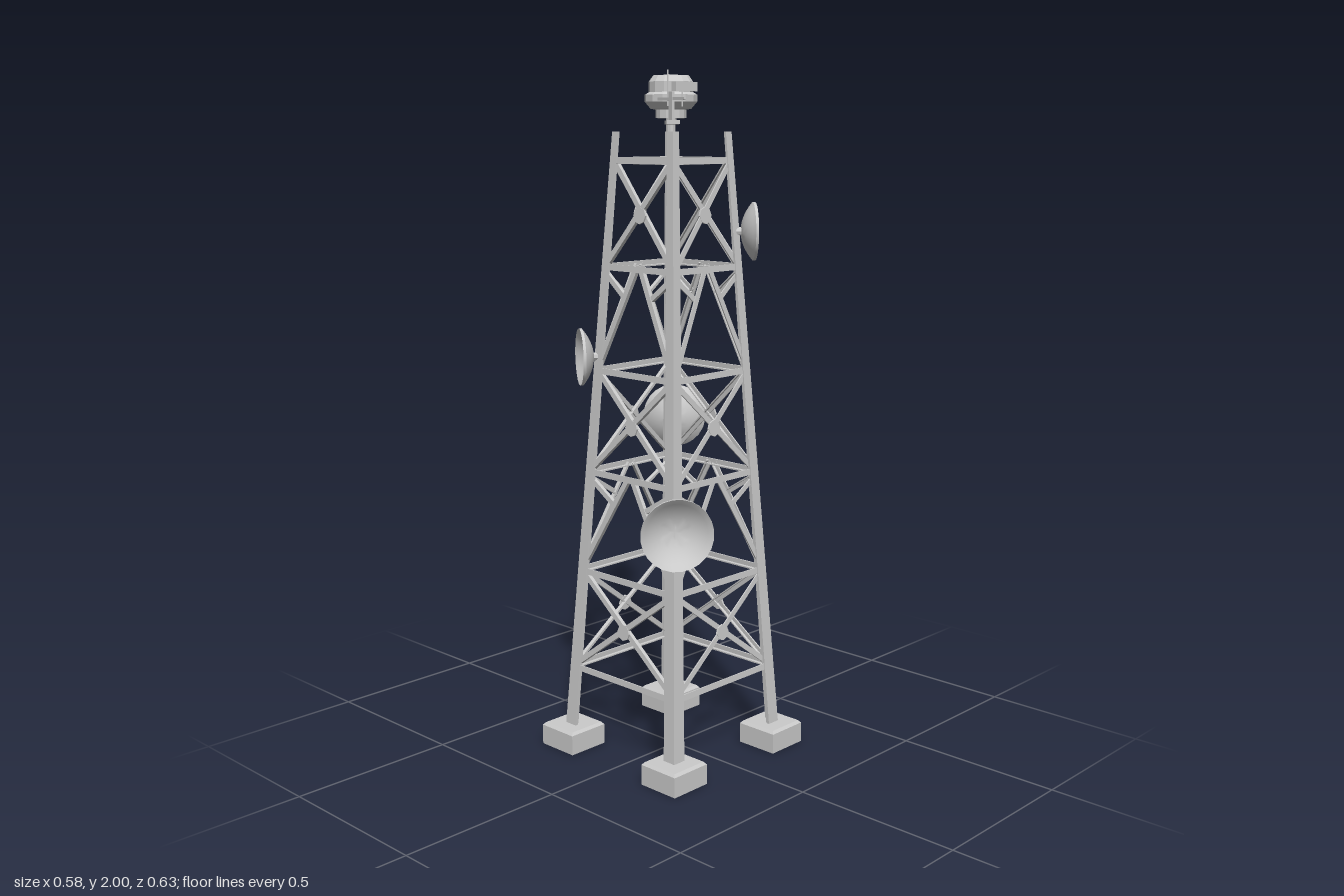
import * as THREE from 'three';
import { toCreasedNormals } from 'three/addons/utils/BufferGeometryUtils.js';

const V = (x, y, z) => new THREE.Vector3(x, y, z);
const flat = new THREE.MeshStandardMaterial({ color: 0xcccccc, flatShading: true });
const smooth = new THREE.MeshStandardMaterial({ color: 0xcccccc, side: THREE.DoubleSide });

function add(parent, name, geometry, x = 0, y = 0, z = 0, material = flat) {
  const mesh = new THREE.Mesh(geometry, material);
  mesh.name = name;
  mesh.position.set(x, y, z);
  parent.add(mesh);
  return mesh;
}

// half width of the tapering tower at height y
const half = (y) => 0.232 - 0.0617 * y;
const polygon = (pts) => new THREE.Shape(pts.map(([x, y]) => new THREE.Vector2(x, y)));

// angle-iron bar from a to b, its flat flange facing the outward side
function bar(parent, name, a, b, w, d = 0.014, inset = 0) {
  const t = 0.004, h = w / 2;
  const section = polygon([[0, -h], [0, h], [-d, h], [-d, h - t], [-t, h - t], [-t, -h]]);
  const dir = b.clone().sub(a);
  const geo = new THREE.ExtrudeGeometry(section, { depth: dir.length(), bevelEnabled: false });
  dir.normalize();
  const out = V(0, 0.0617, 1).normalize();
  const x = out.clone().addScaledVector(dir, -out.dot(dir)).normalize();
  const y = dir.clone().cross(x);
  geo.applyMatrix4(new THREE.Matrix4().makeBasis(x, y, dir));
  const p = a.clone().addScaledVector(out, -inset);
  add(parent, name, geo, p.x, p.y, p.z);
}

// L-section corner leg, leaning inward and thinning toward the top
function legGeometry() {
  const k = 0.25, y0 = 0.05, y1 = 1.83;
  const section = polygon([[0, 0], [1, 0], [1, k], [k, k], [k, 1], [0, 1]]);
  const geo = new THREE.ExtrudeGeometry(section, { depth: 1, bevelEnabled: false });
  const p = geo.attributes.position;
  for (let i = 0; i < p.count; i++) {
    const y = y0 + (y1 - y0) * p.getZ(i), w = 0.042 - 0.018 * p.getZ(i), h = half(y);
    p.setXYZ(i, h - p.getY(i) * w, y, h - p.getX(i) * w);
  }
  geo.computeVertexNormals();
  return geo;
}

// concrete foot with a slightly chamfered top
function footGeometry() {
  const s = 0.066, c = 0.059;
  const geo = new THREE.CylinderGeometry(c * Math.SQRT2, s * Math.SQRT2, 0.008, 4).rotateY(Math.PI / 4);
  return [new THREE.BoxGeometry(2 * s, 0.06, 2 * s).translate(0, 0.03, 0), geo.translate(0, 0.064, 0)];
}

// one lattice face of the tower, on the +z side
function latticeFace() {
  const face = new THREE.Group();
  face.name = 'latticeFace';
  const at = (s, y) => V(s * (half(y) - 0.008), y, half(y) - 0.002);
  const levels = [0.25, 0.55, 0.85, 1.15, 1.45, 1.75];
  levels.forEach((y, i) => {
    bar(face, 'crossBeam', at(-1, y), at(1, y), 0.018);
    if (i === 5) return;
    const top = levels[i + 1], mid = (y + top) / 2;
    if (i % 2 === 0) {
      // crossed braces with a gusset plate where they meet
      bar(face, 'crossBrace', at(-1, y), at(1, top), 0.016, 0.012, 0.001);
      bar(face, 'crossBrace', at(1, y), at(-1, top), 0.016, 0.012, 0.005);
      const plate = add(face, 'gusset', new THREE.CylinderGeometry(0.024, 0.024, 0.006, 8)
        .rotateX(Math.PI / 2), 0, mid, half(mid) - 0.005);
      plate.rotation.x = -0.062;
    } else {
      // braces rising to the middle of the beam, each with a short strut
      for (const s of [-1, 1]) {
        const apex = V(s * 0.01, top, half(top) - 0.002);
        bar(face, 'risingBrace', at(s, y), apex, 0.016, 0.012, 0.001);
        const foot = at(s, y).lerp(apex, 0.72);
        bar(face, 'shortStrut', foot, at(s, top - 0.015), 0.015, 0.012, 0.003);
      }
    }
  });
  return face;
}

// shallow dish opening along (nx, nz), with a stub mount behind it
function dish(parent, x, y, z, nx, nz, r) {
  const g = new THREE.Group();
  g.name = 'dish';
  const depth = r * 0.5, pts = [], n = 8;
  const curve = (i, rad, lift) => new THREE.Vector2(rad * i / n, lift - 0.008 - (depth - 0.008) * (1 - (i / n) ** 2));
  for (let i = 0; i <= n; i++) pts.push(curve(i, r, 0));
  pts.push(new THREE.Vector2(r, 0));
  for (let i = n; i >= 0; i--) pts.push(curve(i, r - 0.003, 0.006));
  const shell = toCreasedNormals(new THREE.LatheGeometry(pts, 24), 0.6);
  add(g, 'dishShell', shell, 0, 0, 0, smooth);
  add(g, 'dishMount', new THREE.CylinderGeometry(0.012, 0.012, 0.025, 8), 0, -depth - 0.008, 0);
  g.position.set(x, y, z);
  g.quaternion.setFromUnitVectors(V(0, 1, 0), V(nx, 0, nz).normalize());
  parent.add(g);
}

// small antenna: post, crossbar, one tall and one short rod
function antenna(parent, x, z, turn) {
  const g = new THREE.Group();
  g.name = 'antenna';
  add(g, 'antennaPost', new THREE.BoxGeometry(0.02, 0.08, 0.008), 0, 1.9, 0);
  add(g, 'antennaCrossbar', new THREE.BoxGeometry(0.142, 0.008, 0.006), 0, 1.92, 0);
  add(g, 'tallRod', new THREE.CylinderGeometry(0.0025, 0.0025, 0.1, 6), -0.02, 1.95, 0);
  add(g, 'shortRod', new THREE.CylinderGeometry(0.0025, 0.0025, 0.045, 6), 0.057, 1.92, 0);
  g.position.set(x, 0, z);
  g.rotation.y = turn;
  parent.add(g);
}

export function createModel() {
  const model = new THREE.Group();
  model.name = 'latticeTower';

  // four identical quarters: face, leg and foot
  const tower = new THREE.Group();
  tower.name = 'tower';
  tower.position.set(-0.01, 0, 0.002);
  for (let i = 0; i < 4; i++) {
    const quarter = new THREE.Group();
    quarter.name = 'towerQuarter';
    quarter.rotation.y = i * Math.PI / 2;
    quarter.add(latticeFace());
    add(quarter, 'leg', legGeometry());
    for (const geo of footGeometry()) add(quarter, 'foot', geo, 0.212, 0, 0.212);
    tower.add(quarter);
  }
  model.add(tower);

  // dishes on the four corners
  dish(model, 0.155, 1.55, -0.17, 0.66, -0.75, 0.083);
  dish(model, -0.193, 1.19, 0.198, -0.56, 0.83, 0.083);
  dish(model, -0.213, 0.96, -0.22, -0.61, -0.79, 0.097);
  dish(model, 0.228, 0.74, 0.227, 0.8, 0.6, 0.103);

  // diagonal arm on top of the back corner
  const cx = -0.122, cz = -0.11;
  const arm = add(model, 'topArm', new THREE.BoxGeometry(0.43, 0.011, 0.038), -0.118, 1.856, -0.11);
  arm.rotation.y = -Math.PI / 4;
  antenna(model, -0.248, -0.25, Math.PI / 2);
  antenna(model, 0.01, 0.024, -0.26);

  // mast and drum housing
  add(model, 'mast', new THREE.CylinderGeometry(0.014, 0.014, 0.07, 10), cx, 1.85, cz);
  const profile = [[0, 1.868], [0.045, 1.868], [0.045, 1.892], [0.06, 1.895], [0.077, 1.915], [0.077, 1.935],
    [0.065, 1.942], [0.065, 1.972], [0.052, 1.99], [0, 1.99]].map(([r, y]) => new THREE.Vector2(r, y));
  add(model, 'drumHousing', new THREE.LatheGeometry(profile, 14), cx, 0, cz);
  const hatch = add(model, 'drumHatch', new THREE.BoxGeometry(0.03, 0.026, 0.08), cx + 0.056, 1.957, cz + 0.006);
  hatch.rotation.y = -0.1;
  return model;
}
